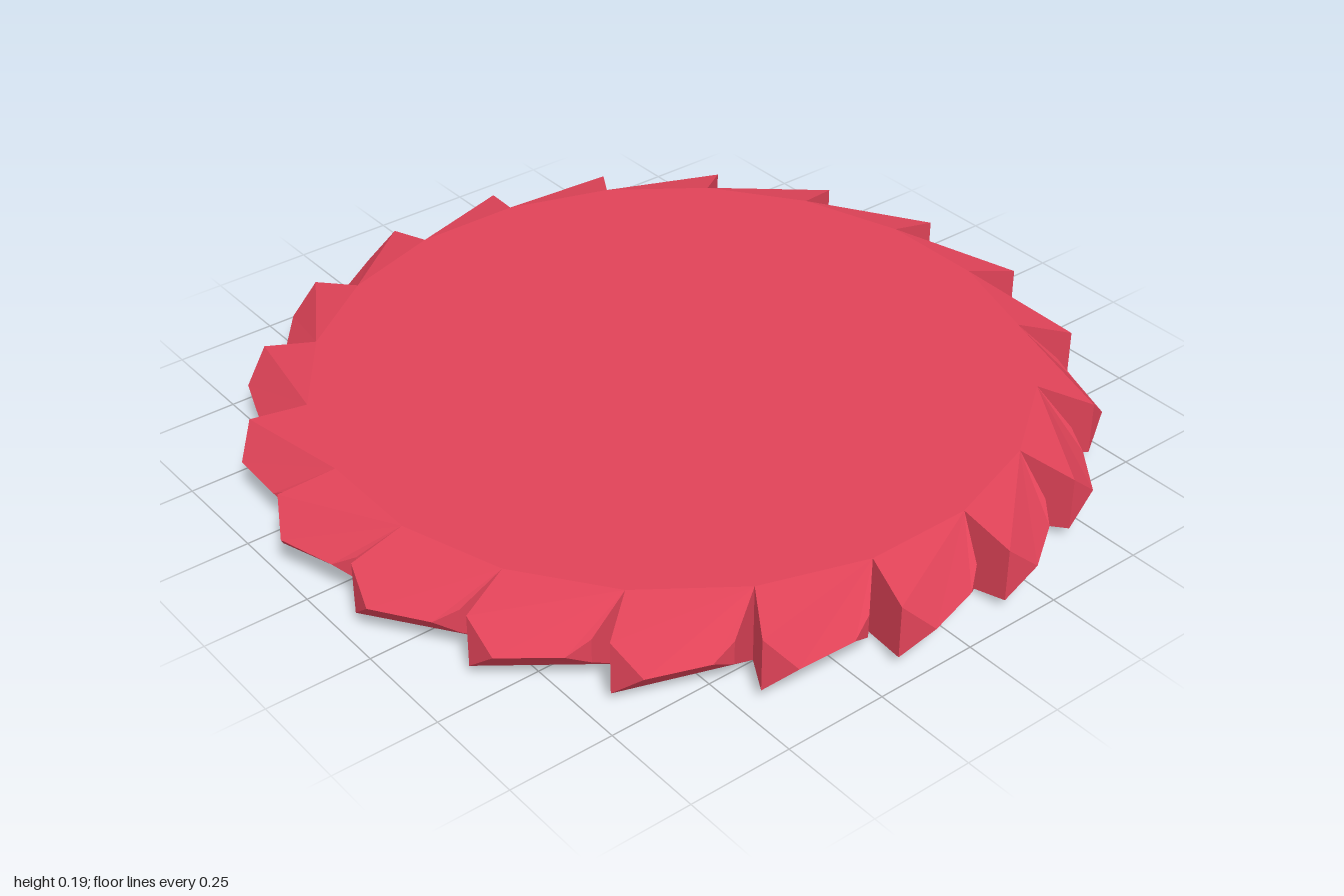
import * as THREE from 'three';

const TEETH = 20, HALF = 0.0975, HUB_RADIUS = 0.84;

// One hooked tooth, drawn on the -z side: a sloping back and a steep cutting face
function toothGeometry() {
  const a = Math.PI / TEETH;
  const vx = HUB_RADIUS * Math.sin(a), vr = HUB_RADIUS * Math.cos(a);
  // [x, radius, half thickness]
  const root = [-vx, vr, HALF];
  const heel = [-0.086, 0.92, 0.03];
  const back = [-0.04, 0.955, 0];
  const tip = [0.1, 0.995, 0];
  const corner = [0.166, 0.957, 0.066];
  const gullet = [vx, vr, HALF];
  const pos = [];
  const top = p => [p[0], p[2], -p[1]];
  const low = p => [p[0], -p[2], -p[1]];
  const tri = (p, q, r) => pos.push(...p, ...q, ...r);

  // Sloping facets, mirrored above and below
  const facets = [[root, gullet, corner], [root, corner, tip], [root, tip, back], [root, back, heel]];
  for (const [p, q, r] of facets) {
    tri(top(p), top(q), top(r));
    tri(low(p), low(r), low(q));
  }
  // Outer walls joining both halves
  for (const [p, q] of [[root, heel], [heel, back], [tip, corner], [corner, gullet]]) {
    if (q[2] > 0) tri(top(p), top(q), low(q));
    if (p[2] > 0) tri(top(p), low(q), low(p));
  }
  const g = new THREE.BufferGeometry();
  g.setAttribute('position', new THREE.Float32BufferAttribute(pos, 3));
  g.computeVertexNormals();
  return g;
}

export function createModel() {
  const model = new THREE.Group();
  model.name = 'sawBlade';
  const red = new THREE.MeshStandardMaterial({ color: 0xe04358 });
  red.name = 'red';

  // Flat disc whose corners meet the gullets
  const disc = new THREE.CylinderGeometry(
    HUB_RADIUS, HUB_RADIUS, HALF * 2, TEETH, 1, false, Math.PI / TEETH).toNonIndexed();
  disc.computeVertexNormals();
  const hub = new THREE.Mesh(disc, red);
  hub.name = 'disc';
  hub.position.y = HALF;
  model.add(hub);

  // Ring of teeth
  const geometry = toothGeometry();
  const teeth = new THREE.Group();
  teeth.name = 'teeth';
  teeth.position.y = HALF;
  for (let i = 0; i < TEETH; i++) {
    const tooth = new THREE.Mesh(geometry, red);
    tooth.name = 'tooth' + (i + 1);
    tooth.rotation.y = i * 2 * Math.PI / TEETH;
    teeth.add(tooth);
  }
  model.add(teeth);
  return model;
}
